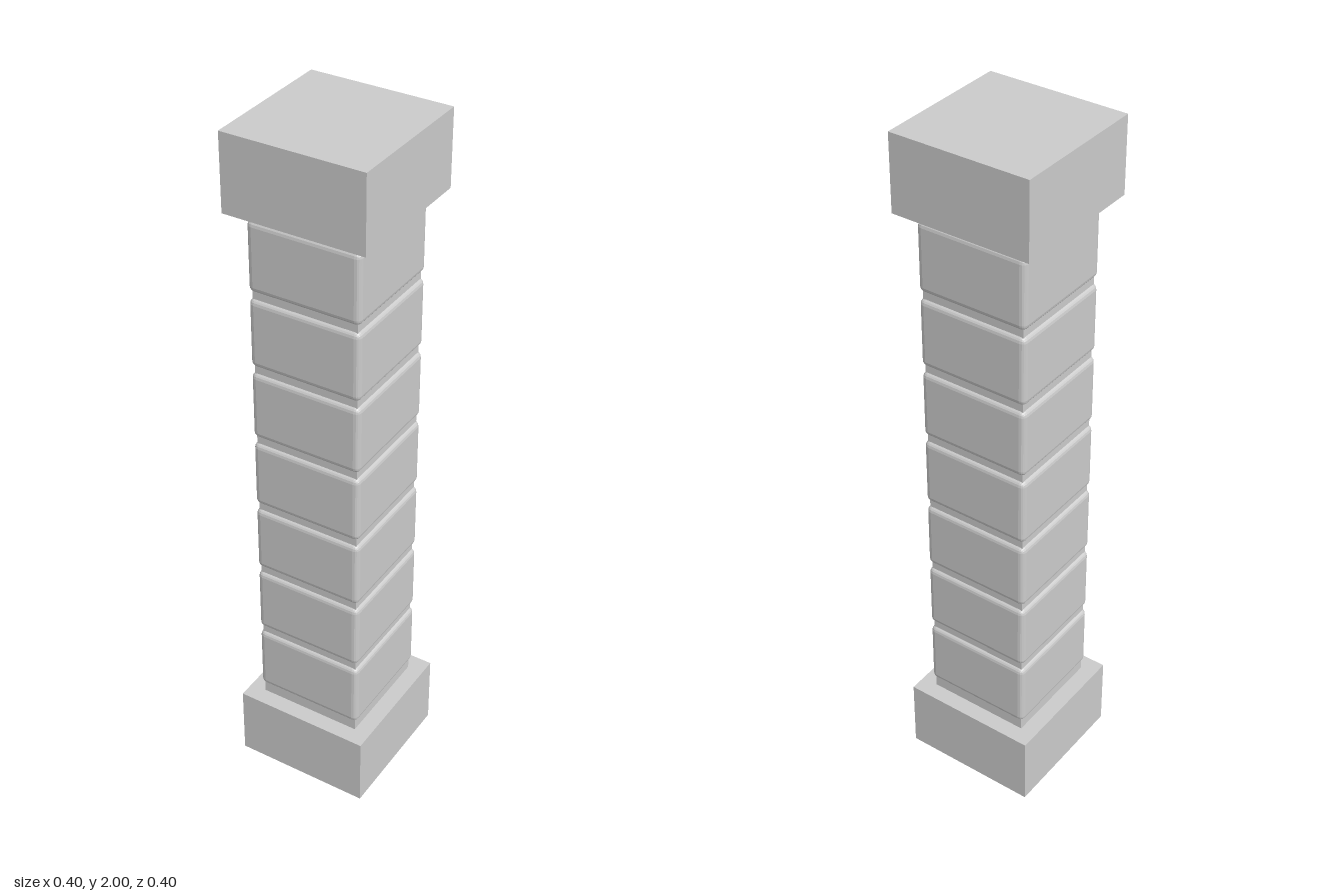
import * as THREE from 'three';
import { RoundedBoxGeometry } from 'three/addons/geometries/RoundedBoxGeometry.js';

export function createModel() {
  const pillar = new THREE.Group();
  pillar.name = 'pillar';
  const material = new THREE.MeshStandardMaterial({ color: 0xcccccc, flatShading: true });

  const add = (name, geometry, y) => {
    const mesh = new THREE.Mesh(geometry, material);
    mesh.name = name;
    mesh.position.y = y;
    pillar.add(mesh);
  };

  // Plain square base and cap
  const endHeight = 0.214;
  const end = new THREE.BoxGeometry(0.4, endHeight, 0.4);
  add('base', end, endHeight / 2);
  add('cap', end, 2 - endHeight / 2);

  // Recessed core showing in the joints between blocks
  add('core', new THREE.BoxGeometry(0.304, 2 - 2 * endHeight, 0.304), 1);

  // Stacked blocks with bevelled edges
  const block = new RoundedBoxGeometry(0.322, 0.2, 0.322, 2, 0.016);
  for (let i = 0; i < 7; i++) add(`block${i + 1}`, block, 0.348 + i * 0.219);

  return pillar;
}
